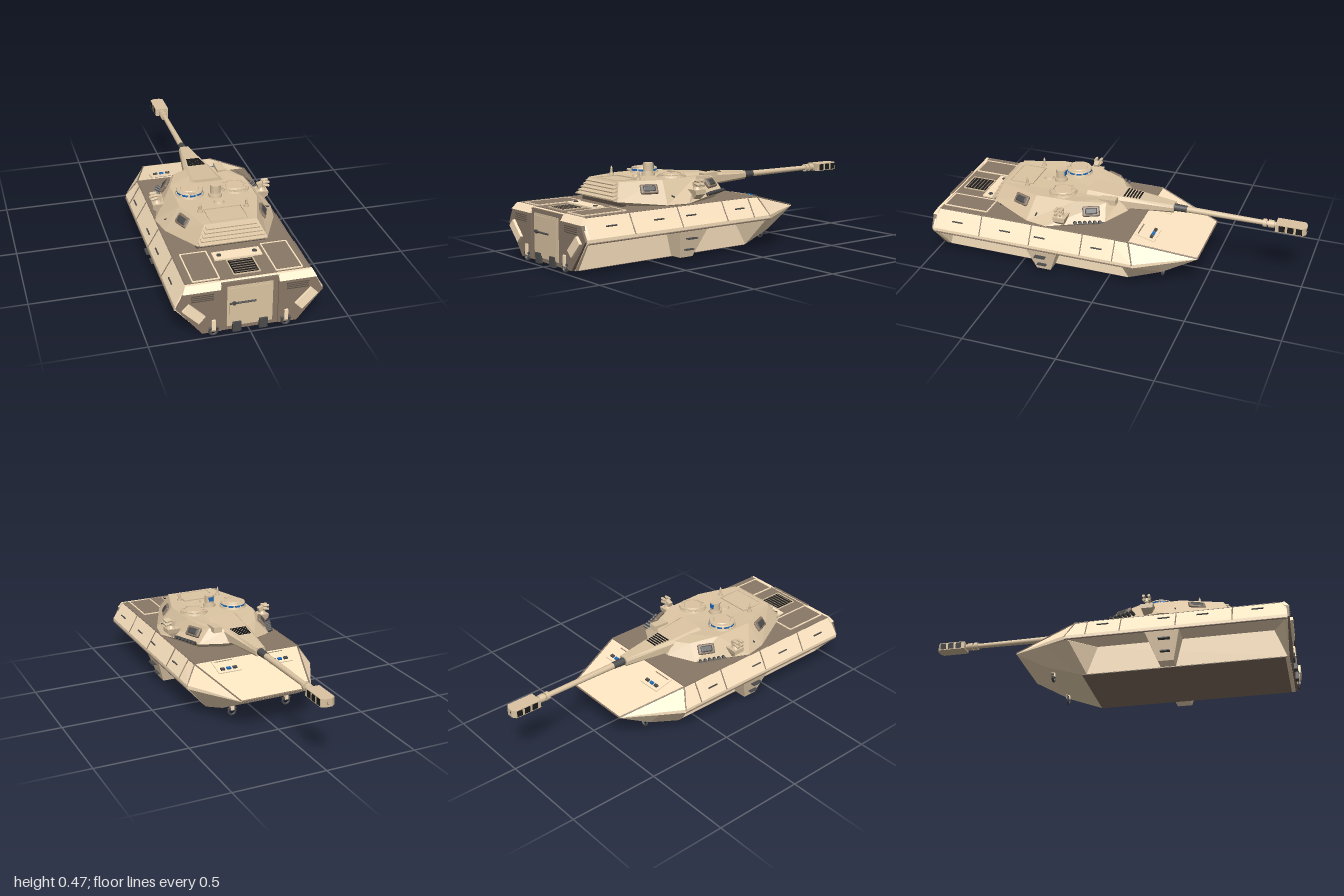
import * as THREE from 'three';
import { RoundedBoxGeometry } from 'three/addons/geometries/RoundedBoxGeometry.js';

const mat = (color, flat = true) => new THREE.MeshStandardMaterial({ color, flatShading: flat, side: THREE.DoubleSide });
const LIGHT = mat(0xffe6c2), TAN = mat(0xdcc5a3), BROWN = mat(0x8a7867), DARK = mat(0x5c5146);
const GREY = mat(0x4c4c4c), BLACK = mat(0x1b1b1b), BLUE = mat(0x1c6cc0), ROUND = mat(0xdcc5a3, false);

// Closed skin over rings of equal point count; flat caps at both ends
function loft(rings) {
  const p = [], n = rings[0].length;
  const tri = (a, b, c) => p.push(...a, ...b, ...c);
  for (let i = 0; i < rings.length - 1; i++) for (let j = 0; j < n; j++) {
    const k = (j + 1) % n, [a, b, c, d] = [rings[i][j], rings[i][k], rings[i + 1][k], rings[i + 1][j]];
    tri(a, b, c); tri(a, c, d);
  }
  const last = rings[rings.length - 1];
  for (let j = 1; j < n - 1; j++) {
    tri(rings[0][0], rings[0][j + 1], rings[0][j]);
    tri(last[0], last[j], last[j + 1]);
  }
  const g = new THREE.BufferGeometry();
  g.setAttribute('position', new THREE.Float32BufferAttribute(p, 3));
  g.computeVertexNormals();
  return g;
}
const mirrored = half => [...half, ...half.map(([x, y, z]) => [-x, y, z]).reverse()];
const sided = (ring, s) => { const r = ring.map(([x, y, z]) => [x * s, y, z]); return s < 0 ? r.reverse() : r; };

function extrude(points, depth) {
  const s = new THREE.Shape(points.map(([x, y]) => new THREE.Vector2(x, y)));
  return new THREE.ExtrudeGeometry(s, { depth, bevelEnabled: false });
}

export function createModel() {
  const root = new THREE.Group();
  let group = root;
  const section = name => { group = new THREE.Group(); group.name = name; root.add(group); };
  const add = (name, geo, m, x = 0, y = 0, z = 0, rx = 0, ry = 0, rz = 0) => {
    const mesh = new THREE.Mesh(geo, m);
    mesh.name = name;
    mesh.position.set(x, y, z);
    mesh.rotation.set(rx, ry, rz);
    group.add(mesh);
    return mesh;
  };
  const box = (name, m, w, h, d, ...t) => add(name, new THREE.BoxGeometry(w, h, d), m, ...t);
  const cyl = (name, m, r1, r2, h, n, ...t) => add(name, new THREE.CylinderGeometry(r1, r2, h, n), m, ...t);
  const rod = (name, m, a, b, r) => {
    const A = new THREE.Vector3(...a), B = new THREE.Vector3(...b), dir = B.clone().sub(A);
    const mesh = cyl(name, m, r, r, dir.length(), 8);
    mesh.position.copy(A).add(B).multiplyScalar(0.5);
    mesh.quaternion.setFromUnitVectors(new THREE.Vector3(0, 1, 0), dir.normalize());
  };
  const frame = (name, m, w, d, t, x, y, z) => {
    for (const s of [-1, 1]) {
      box(name, m, w, 0.008, t, x, y, z + s * d / 2);
      box(name, m, t, 0.008, d, x + s * w / 2, y, z);
    }
  };
  const sides = fn => [-1, 1].forEach(fn);

  // Hull: sponsons over a narrow upright-sided belly, wedge bow at -z
  section('hull');
  const hullRing = (z, top, under, zBelly = z) => mirrored([[0.31, top, z], [0.365, 0.185, z], [0.365, 0.165, z], [under, 0.162, z], [0.235, 0.015, zBelly]]);
  add('hullBody', loft([
    hullRing(0.975, 0.265, 0.36, 0.965), hullRing(0.96, 0.28, 0.35, 0.955), hullRing(0.9, 0.28, 0.242, 0.945), hullRing(-0.02, 0.28, 0.242, -0.08),
    mirrored([[0.305, 0.28, -0.13], [0.365, 0.185, -0.17], [0.365, 0.165, -0.17], [0.355, 0.16, -0.15], [0.235, 0.015, -0.11]]),
    mirrored([[0.256, 0.238, -0.29], [0.301, 0.188, -0.29], [0.301, 0.172, -0.29], [0.295, 0.168, -0.29], [0.218, 0.078, -0.29]]),
    mirrored([[0.2, 0.19, -0.475], [0.202, 0.187, -0.475], [0.202, 0.184, -0.475], [0.2, 0.182, -0.475], [0.195, 0.18, -0.475]]),
  ]), LIGHT);
  box('deck', BROWN, 0.61, 0.006, 1.08, 0, 0.28, 0.41);
  box('belly', BROWN, 0.466, 0.005, 1.05, 0, 0.0145, 0.42);
  rod('bowEdge', BROWN, [-0.2, 0.186, -0.475], [0.2, 0.186, -0.475], 0.005);
  sides(s => {
    // Tapered pod below the sponson
    add('sidePod', loft([
      sided([[0.2, 0.166, 0.25], [0.362, 0.166, 0.25], [0.362, 0.166, 0.43], [0.2, 0.166, 0.43]], s),
      sided([[0.2, 0.017, 0.31], [0.31, 0.017, 0.31], [0.31, 0.017, 0.39], [0.2, 0.017, 0.39]], s),
    ]), LIGHT);
    box('podStep', GREY, 0.05, 0.006, 0.06, s * 0.345, 0.12, 0.35);
    box('podStep', GREY, 0.05, 0.006, 0.05, s * 0.32, 0.06, 0.35);
    rod('sideRail', BROWN, [s * 0.365, 0.165, 0.97], [s * 0.365, 0.165, -0.17], 0.004);
    rod('deckEdge', BROWN, [s * 0.307, 0.281, 0.95], [s * 0.305, 0.281, -0.13], 0.004);
    rod('bowSeam', BROWN, [s * 0.305, 0.28, -0.13], [s * 0.2, 0.19, -0.475], 0.004);
    rod('bowSeam', BROWN, [s * 0.305, 0.28, -0.13], [s * 0.365, 0.18, -0.17], 0.004);
    for (const z of [0.7, 0.41, 0.12, -0.06]) rod('sideSeam', BROWN, [s * 0.311, 0.281, z], [s * 0.366, 0.185, z], 0.003);
    for (const z of [0.83, 0.55, 0.35, 0.03]) rod('grabBar', GREY, [s * 0.352, 0.238, z - 0.03], [s * 0.352, 0.238, z + 0.03], 0.004);
    // Rear deck panel frame
    frame('deckFrame', LIGHT, 0.13, 0.25, 0.007, s * 0.205, 0.284, 0.815);
    box('deckPanel', BROWN, 0.12, 0.008, 0.24, s * 0.205, 0.283, 0.815);
    // Bow hatch with periscopes, lying on the glacis
    box('bowHatch', LIGHT, 0.13, 0.01, 0.11, s * 0.15, 0.264, -0.19, -0.255);
    for (const dx of [-0.035, 0, 0.035]) box('bowPeriscope', dx ? GREY : BLUE, 0.022, 0.014, 0.016, s * 0.15 + dx, 0.263, -0.22, -0.255);
    rod('bowHatchHinge', BROWN, [s * 0.15 - 0.05, 0.276, -0.15], [s * 0.15 + 0.05, 0.276, -0.15], 0.005);
    // Towing shackles, front and back
    for (const [x, yy, z] of [[0.16, 0.045, -0.28], [0.18, 0.026, 0.985]]) {
      add('shackle', new THREE.TorusGeometry(0.02, 0.006, 6, 14), GREY, s * x, yy, z);
      rod('shacklePin', GREY, [s * x - 0.025, yy + 0.016, z], [s * x + 0.025, yy + 0.016, z], 0.006);
      box('shackleLug', LIGHT, 0.018, 0.055, 0.02, s * x, yy + 0.035, z);
    }
  });
  // Grille and light cover on the rear deck
  box('rearCover', LIGHT, 0.24, 0.016, 0.07, 0, 0.283, 0.75);
  sides(s => cyl('coverBolt', GREY, 0.012, 0.012, 0.008, 12, s * 0.09, 0.291, 0.75));
  frame('grilleFrame', TAN, 0.13, 0.13, 0.006, 0, 0.284, 0.86);
  box('grille', BLACK, 0.12, 0.008, 0.12, 0, 0.283, 0.86);
  for (let i = 0; i < 6; i++) box('grilleSlat', BROWN, 0.11, 0.006, 0.005, 0, 0.286, 0.81 + i * 0.02);

  // Rear plate and door
  section('rear');
  sides(s => {
    add('rearPlate', extrude([[0.14, 0.25], [0.325, 0.25], [0.362, 0.175], [0.235, 0.018], [0.14, 0.018]].map(([x, y]) => [x * s, y]), 0.02), BROWN, 0, 0, 0.965);
    add('rearTopChamfer', loft([
      sided([[0.145, 0.282, 0.95], [0.313, 0.282, 0.95], [0.313, 0.282, 0.965], [0.145, 0.282, 0.965]], s),
      sided([[0.145, 0.25, 0.96], [0.33, 0.25, 0.96], [0.33, 0.25, 0.987], [0.145, 0.25, 0.987]], s),
    ]), LIGHT);
    box('rearReflector', LIGHT, 0.11, 0.048, 0.022, s * 0.278, 0.142, 0.989, 0, 0, s * 0.78);
    for (let i = 0; i < 4; i++) box('rearLouvre', DARK, 0.11, 0.004, 0.004, s * 0.235, 0.203 + i * 0.01, 0.986);
    box('doorHinge', GREY, 0.042, 0.052, 0.02, s * 0.066, 0.035, 0.985);
  });
  box('rearCentre', BROWN, 0.28, 0.262, 0.012, 0, 0.147, 0.972);
  box('doorFrame', TAN, 0.226, 0.22, 0.008, 0, 0.147, 0.978);
  box('door', TAN, 0.206, 0.2, 0.006, 0, 0.147, 0.982);
  rod('doorHandle', GREY, [-0.1, 0.166, 0.988], [0.028, 0.166, 0.988], 0.005);
  cyl('doorPivot', GREY, 0.01, 0.01, 0.01, 12, -0.08, 0.166, 0.988, Math.PI / 2);

  // Turret: faceted plan rings from roof to base
  section('turret');
  add('turretBody', loft([
    mirrored([[0.06, 0.388, 0.0], [0.14, 0.393, 0.05], [0.2, 0.406, 0.2], [0.205, 0.406, 0.42], [0.135, 0.406, 0.64]]),
    mirrored([[0.08, 0.33, -0.05], [0.21, 0.318, 0.03], [0.31, 0.289, 0.33], [0.287, 0.289, 0.45], [0.18, 0.314, 0.68]]),
    mirrored([[0.07, 0.295, 0.0], [0.19, 0.283, 0.08], [0.3, 0.283, 0.33], [0.278, 0.283, 0.44], [0.17, 0.287, 0.6]]),
  ]), TAN);
  box('turretRing', DARK, 0.355, 0.026, 0.03, 0, 0.3, 0.64);
  // Stepped slats across the bustle
  for (let i = 0; i < 5; i++) box('bustleSlat', TAN, 0.345 - i * 0.022, 0.006, 0.04, 0, 0.328 + i * 0.017, 0.682 - i * 0.009, 0.25);
  frame('roofPanel', TAN, 0.19, 0.13, 0.003, 0, 0.404, 0.555);
  sides(s => {
    // Roof hatch; the commander's is raised on a ring of periscopes
    const x = s * 0.12, z = 0.3, tall = s < 0, rim = tall ? 0.43 : 0.413;
    cyl('hatchBase', TAN, 0.072, 0.076, 0.01, 24, x, 0.41, z);
    if (tall) cyl('hatchRing', TAN, 0.058, 0.058, 0.02, 20, x, 0.42, z);
    cyl('hatchRim', TAN, 0.066, 0.07, 0.007, 24, x, rim, z);
    cyl('hatchLid', TAN, 0.045, 0.05, 0.006, 20, x, rim + 0.005, z);
    for (let i = 0; i < 10; i++) {
      const a = i * Math.PI / 5;
      box('periscope', tall ? BLUE : TAN, 0.026, 0.012, 0.014, x + 0.061 * Math.sin(a), tall ? 0.42 : 0.414, z + 0.061 * Math.cos(a), 0, a);
    }
    box('hatchHinge', TAN, 0.04, 0.008, 0.016, x, rim + 0.004, z + 0.06);
    // Stubby aerial
    cyl('aerialBase', TAN, 0.012, 0.014, 0.012, 10, s * 0.12, 0.412, 0.51);
    cyl('aerial', ROUND, 0.006, 0.007, 0.026, 10, s * 0.12, 0.43, 0.51);
    cyl('aerialTip', ROUND, 0.001, 0.006, 0.014, 10, s * 0.12, 0.449, 0.51);
    // Side sights in dark rounded frames
    for (const [sx, sy, sz, ry] of [[0.207, 0.366, 0.505, 1.2], [0.205, 0.365, 0.11, 2.0]]) {
      const sight = new THREE.Group();
      sight.name = 'sideSight';
      const frameMesh = new THREE.Mesh(new RoundedBoxGeometry(0.092, 0.056, 0.02, 2, 0.009), BROWN);
      frameMesh.name = 'sightFrame';
      const glass = new THREE.Mesh(new RoundedBoxGeometry(0.066, 0.036, 0.02, 2, 0.008), GREY);
      glass.name = 'sightGlass';
      glass.position.z = 0.004;
      sight.add(frameMesh, glass);
      sight.position.set(s * sx, sy, sz);
      sight.rotation.set(-0.65, s * ry, 0, 'YXZ');
      group.add(sight);
    }
    // Row of small grenade tubes along the front cheek
    for (let i = 0; i < 6; i++) {
      const t = i / 5, px = s * (0.215 + 0.05 * t), pz = 0.06 + 0.12 * t;
      rod('grenadeTube', GREY, [px, 0.316, pz], [px + s * 0.025, 0.329, pz - 0.015], 0.009);
    }
    // Twin launcher on a side bracket
    add('launcherBracket', loft([
      sided([[0.22, 0.352, 0.22], [0.31, 0.352, 0.22], [0.31, 0.352, 0.29], [0.22, 0.352, 0.29]], s),
      sided([[0.31, 0.328, 0.225], [0.31, 0.328, 0.225], [0.31, 0.328, 0.285], [0.31, 0.328, 0.285]].map(([x, y, z], i) => [i === 1 || i === 2 ? x : 0.23, y, z]), s),
      sided([[0.24, 0.3, 0.235], [0.28, 0.3, 0.235], [0.28, 0.3, 0.28], [0.24, 0.3, 0.28]], s),
    ]), TAN);
    cyl('launcherPost', TAN, 0.014, 0.024, 0.014, 10, s * 0.28, 0.359, 0.255);
    box('launcherBody', TAN, 0.036, 0.028, 0.026, s * 0.276, 0.378, 0.255, 0, 0, s * 0.3);
    for (const dy of [0, 0.022]) for (const dz of [-0.014, 0.014])
      rod('launcherTube', TAN, [s * 0.282, 0.382 + dy * 0.7, 0.255 + dz], [s * 0.318, 0.374 + dy, 0.255 + dz], 0.008);
    rod('turretStep', GREY, [s * 0.25, 0.33, 0.4], [s * 0.278, 0.325, 0.4], 0.004);
  });
  // Panoramic sight and roof vent
  cyl('sightBase', TAN, 0.034, 0.036, 0.016, 20, 0, 0.413, 0.36);
  cyl('sightNeck', ROUND, 0.026, 0.028, 0.014, 20, 0, 0.426, 0.36);
  cyl('sightHead', ROUND, 0.027, 0.027, 0.04, 24, 0, 0.45, 0.36);
  box('sightWindow', BLUE, 0.026, 0.024, 0.008, 0, 0.45, 0.335);
  cyl('roofVent', ROUND, 0.024, 0.028, 0.01, 20, 0, 0.41, 0.43);
  box('gunnerSight', TAN, 0.045, 0.03, 0.09, 0.11, 0.392, 0.045, 0.06);

  // Gun along -z
  section('gun');
  const mantRing = (z, w, lo, hi) => mirrored([[w * 0.75, hi, z], [w, hi - 0.015, z], [w, lo + 0.012, z], [w * 0.7, lo, z]]);
  add('gunCover', loft([mantRing(0.18, 0.09, 0.36, 0.41), mantRing(0.0, 0.075, 0.325, 0.396), mantRing(-0.29, 0.03, 0.333, 0.379)]), TAN);
  for (let i = 0; i < 6; i++) box('coverRib', BLACK, 0.092 - i * 0.004, 0.01, 0.008, 0, 0.393 - i * 0.0009, -0.02 - i * 0.016);
  const along = (name, m, r1, r2, z1, z2, n = 20) => cyl(name, m, r1, r2, z1 - z2, n, 0, 0.355, (z1 + z2) / 2, -Math.PI / 2);
  along('barrelCollar', GREY, 0.018, 0.021, -0.28, -0.36);
  along('barrel', ROUND, 0.013, 0.017, -0.35, -0.85);
  along('barrelRing', ROUND, 0.022, 0.022, -0.77, -0.79);
  along('barrelRing', ROUND, 0.02, 0.022, -0.8, -0.83);
  // Muzzle brake: flat chamfered block with dark side ports
  add('muzzleBrake', extrude([[-0.038, 0.84], [0.038, 0.84], [0.038, 0.985], [0.018, 1], [-0.018, 1], [-0.038, 0.985]], 0.042), TAN, 0, 0.334, 0, -Math.PI / 2);
  for (const z of [-0.875, -0.92, -0.965]) box('muzzlePort', BLACK, 0.0775, 0.034, 0.032, 0, 0.355, z);
  along('bore', BLACK, 0.012, 0.012, -0.99, -1.0);
  return root;
}
